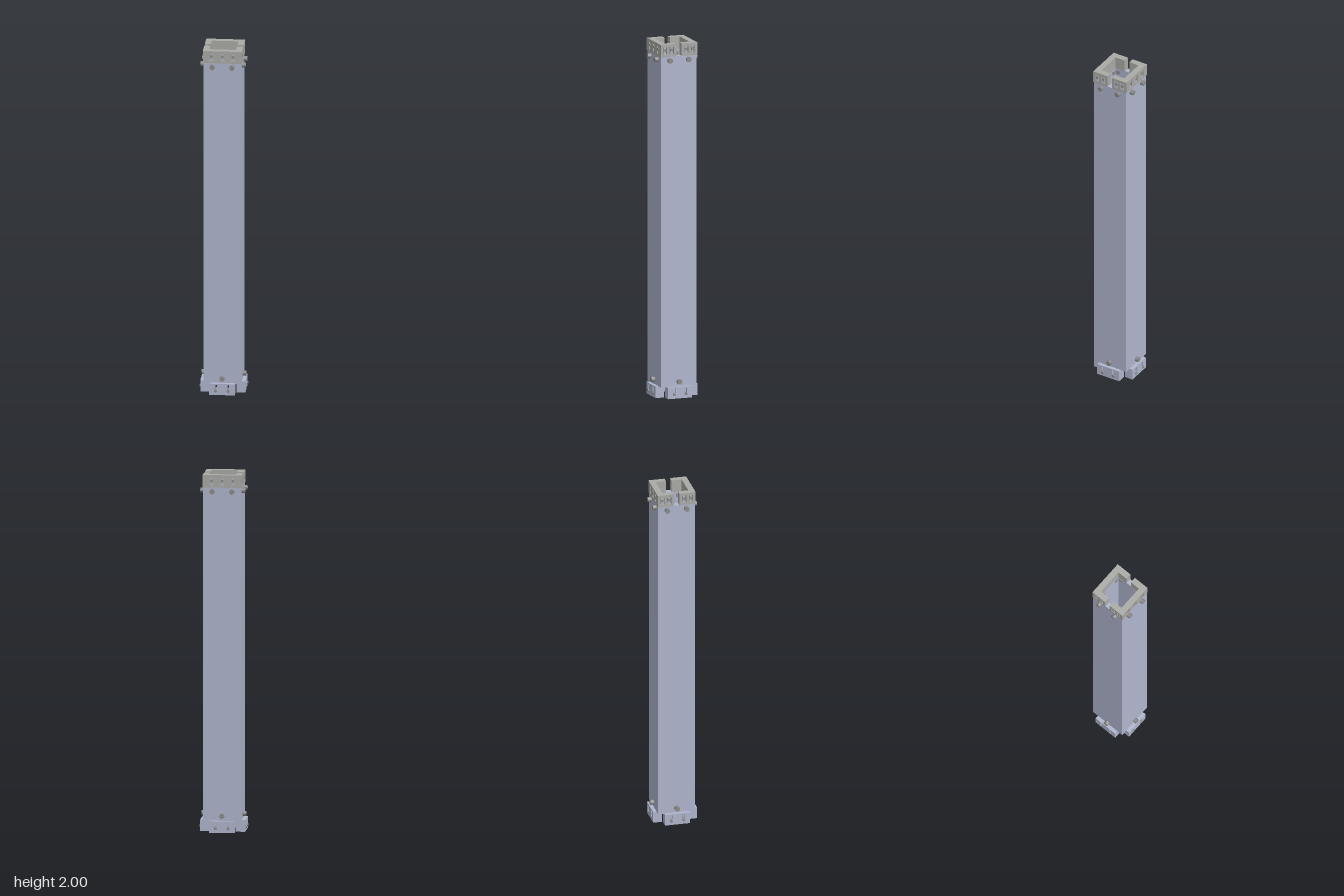
import * as THREE from 'three';

const blue = new THREE.MeshStandardMaterial({ name: 'tubeBlue', color: 0xb0b6ce });
const grey = new THREE.MeshStandardMaterial({ name: 'frameGrey', color: 0xaaaaa6 });
const steel = new THREE.MeshStandardMaterial({ name: 'boltGrey', color: 0x8c8c8a });

function rect(target, x0, y0, x1, y1) {
  target.moveTo(x0, y0);
  target.lineTo(x1, y0);
  target.lineTo(x1, y1);
  target.lineTo(x0, y1);
  target.closePath();
  return target;
}

function add(parent, name, geometry, material, x = 0, y = 0, z = 0) {
  const mesh = new THREE.Mesh(geometry, material);
  mesh.name = name;
  mesh.position.set(x, y, z);
  parent.add(mesh);
  return mesh;
}

// Box given by its limits
function block(parent, name, mat, x0, x1, y0, y1, z0, z1) {
  const g = new THREE.BoxGeometry(x1 - x0, y1 - y0, z1 - z0);
  return add(parent, name, g, mat, (x0 + x1) / 2, (y0 + y1) / 2, (z0 + z1) / 2);
}

// Upright plate with rectangular slots [x, y0, y1], spanning z0..z1
function slottedPlate(parent, name, mat, x0, x1, y0, y1, z0, z1, slots, slotWidth) {
  const shape = rect(new THREE.Shape(), x0, y0, x1, y1);
  for (const [x, a, b] of slots) {
    shape.holes.push(rect(new THREE.Path(), x - slotWidth / 2, a, x + slotWidth / 2, b));
  }
  const g = new THREE.ExtrudeGeometry(shape, { depth: z1 - z0, bevelEnabled: false });
  return add(parent, name, g, mat, 0, 0, z0);
}

// Round bolt pointing out of a side
function bolt(parent, name, mat, x, y, z0, z1, r) {
  const g = new THREE.CylinderGeometry(r, r, z1 - z0, 16).rotateX(Math.PI / 2);
  return add(parent, name, g, mat, x, y, (z0 + z1) / 2);
}

// Slotted wall of the top frame, facing +z, from x0 to x1
function topWall(parent, x0, x1, slotXs) {
  const slots = slotXs.map((x) => [x, 1.943, 1.985]);
  slottedPlate(parent, 'topSlottedWall', grey, x0, x1, 1.93, 2, 0.092, 0.108, slots, 0.024);
  block(parent, 'topInnerWall', grey, Math.max(x0, -0.092), Math.min(x1, 0.092), 1.93, 2, 0.074, 0.092);
  for (const x of slotXs) {
    block(parent, 'slotTongue', blue, x - 0.006, x + 0.006, 1.943, 1.985, 0.09, 0.105);
    bolt(parent, 'slotPin', steel, x, 1.967, 0.09, 0.109, 0.008);
  }
}

export function createModel() {
  const model = new THREE.Group();
  model.name = 'squareColumn';

  // Hollow square shaft
  const section = rect(new THREE.Shape(), -0.105, -0.105, 0.105, 0.105);
  section.holes.push(rect(new THREE.Path(), -0.075, -0.075, 0.075, 0.075));
  const shaft = new THREE.ExtrudeGeometry(section, { depth: 1.867, bevelEnabled: false });
  shaft.rotateX(-Math.PI / 2);
  add(model, 'shaft', shaft, blue, 0, 0.063, 0);

  for (let i = 0; i < 4; i++) {
    const side = new THREE.Group();
    side.name = 'columnSide';
    side.rotation.y = (i * Math.PI) / 2;
    model.add(side);

    // Top frame: full walls front and back, split walls left and right
    if (i % 2 === 0) {
      topWall(side, -0.108, 0.108, [-0.06, 0, 0.06]);
    } else {
      topWall(side, -0.108, -0.016, [-0.082, -0.043]);
      topWall(side, 0.016, 0.108, [0.043, 0.082]);
    }

    // Bolts through the shaft, with nuts inside
    for (const x of [-0.055, 0.055]) {
      bolt(side, 'upperBolt', steel, x, 1.908, 0.1, 0.125, 0.014);
      block(side, 'upperNut', steel, x - 0.01, x + 0.01, 1.898, 1.918, 0.069, 0.076);
    }
    bolt(side, 'lowerBolt', steel, 0, 0.092, 0.1, 0.125, 0.014);
    for (const x of [-0.01, 0.01]) {
      block(side, 'lowerNut', steel, x - 0.005, x + 0.005, 0.084, 0.1, 0.069, 0.076);
    }

    // Bottom socket: open box with slotted faces
    const slots = [-0.033, 0.033].map((x) => [x, 0.03, 0.058]);
    slottedPlate(side, 'socketOuterWall', blue, -0.071, 0.071, 0, 0.065, 0.113, 0.125, slots, 0.014);
    slottedPlate(side, 'socketInnerWall', blue, -0.071, 0.071, 0, 0.065, 0.075, 0.083, slots, 0.014);
    block(side, 'socketRoof', blue, -0.071, 0.071, 0.059, 0.065, 0.083, 0.113);
    for (const x of [-0.067, 0, 0.067]) {
      block(side, 'socketRib', blue, x - 0.004, x + 0.004, 0, 0.059, 0.083, 0.113);
    }
    for (const x of [-0.035, 0.035]) {
      bolt(side, 'socketBolt', steel, x, 0.024, 0.083, 0.131, 0.008);
    }
  }
  return model;
}
